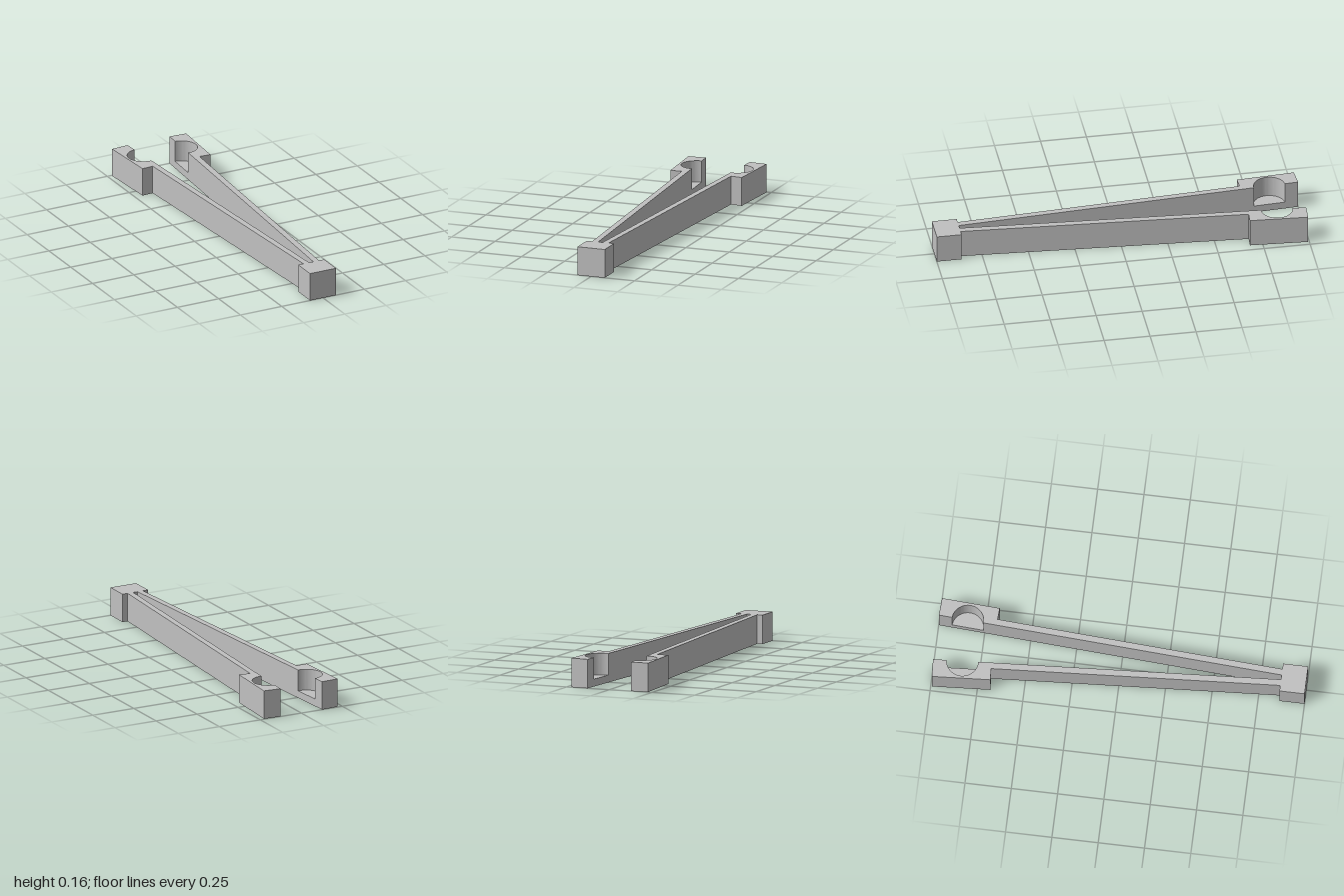
import * as THREE from 'three';
import { toCreasedNormals } from 'three/addons/utils/BufferGeometryUtils.js';

const HEIGHT = 0.157;
const FLOOR = 0.04;      // thickness left under each pocket
const LENGTH = 1.868;    // arm length from the hinge block to the tip
const JAW_START = 1.554;
const ARM_WIDTH = 0.034;
const JAW_WIDTH = 0.098;
const POCKET_Z = 1.71;
const POCKET_R = 0.085;
const SPLAY = 0.061;     // outward angle of each arm

// Extrudes a plan outline upwards; the outline's second axis points to the back
function plate(points, height, material, name) {
  const shape = new THREE.Shape(points.map(([x, y]) => new THREE.Vector2(x, y)));
  let geometry = new THREE.ExtrudeGeometry(shape, { depth: height, bevelEnabled: false });
  geometry.rotateX(-Math.PI / 2);
  geometry = toCreasedNormals(geometry, 0.5);
  const mesh = new THREE.Mesh(geometry, material);
  mesh.name = name;
  return mesh;
}

// Half circle on the inner face of a jaw, running from tip side to hinge side
function pocketArc(side) {
  const points = [];
  for (let i = 0; i <= 32; i++) {
    const a = Math.PI / 2 - (i / 32) * Math.PI;
    points.push([side * POCKET_R * Math.cos(a), POCKET_Z + POCKET_R * Math.sin(a)]);
  }
  return points;
}

function createArm(side, material) {
  const arm = new THREE.Group();
  arm.name = side > 0 ? 'leftArm' : 'rightArm';
  const arc = pocketArc(side);

  // Slim arm widening into a notched jaw
  const outline = [
    [0, -0.03],
    [side * ARM_WIDTH, -0.03],
    [side * ARM_WIDTH, JAW_START],
    [side * JAW_WIDTH, JAW_START],
    [side * JAW_WIDTH, LENGTH],
    [0, LENGTH],
    ...arc,
  ];
  arm.add(plate(outline, HEIGHT, material, 'armAndJaw'));

  // Floor of the half-round pocket
  arm.add(plate(arc, FLOOR, material, 'pocketFloor'));

  arm.position.set(side * 0.013, 0, 0.865);
  arm.rotation.y = -side * SPLAY;
  return arm;
}

export function createModel() {
  const model = new THREE.Group();
  model.name = 'tweezers';
  const grey = new THREE.MeshStandardMaterial({ color: 0xc0c0c0 });
  grey.name = 'light grey';

  // Block joining both arms at the front
  const block = new THREE.Mesh(new THREE.BoxGeometry(0.157, HEIGHT, 0.135), grey);
  block.name = 'hingeBlock';
  block.position.set(0, HEIGHT / 2, 0.9325);
  model.add(block);

  for (const side of [1, -1]) model.add(createArm(side, grey));
  return model;
}
